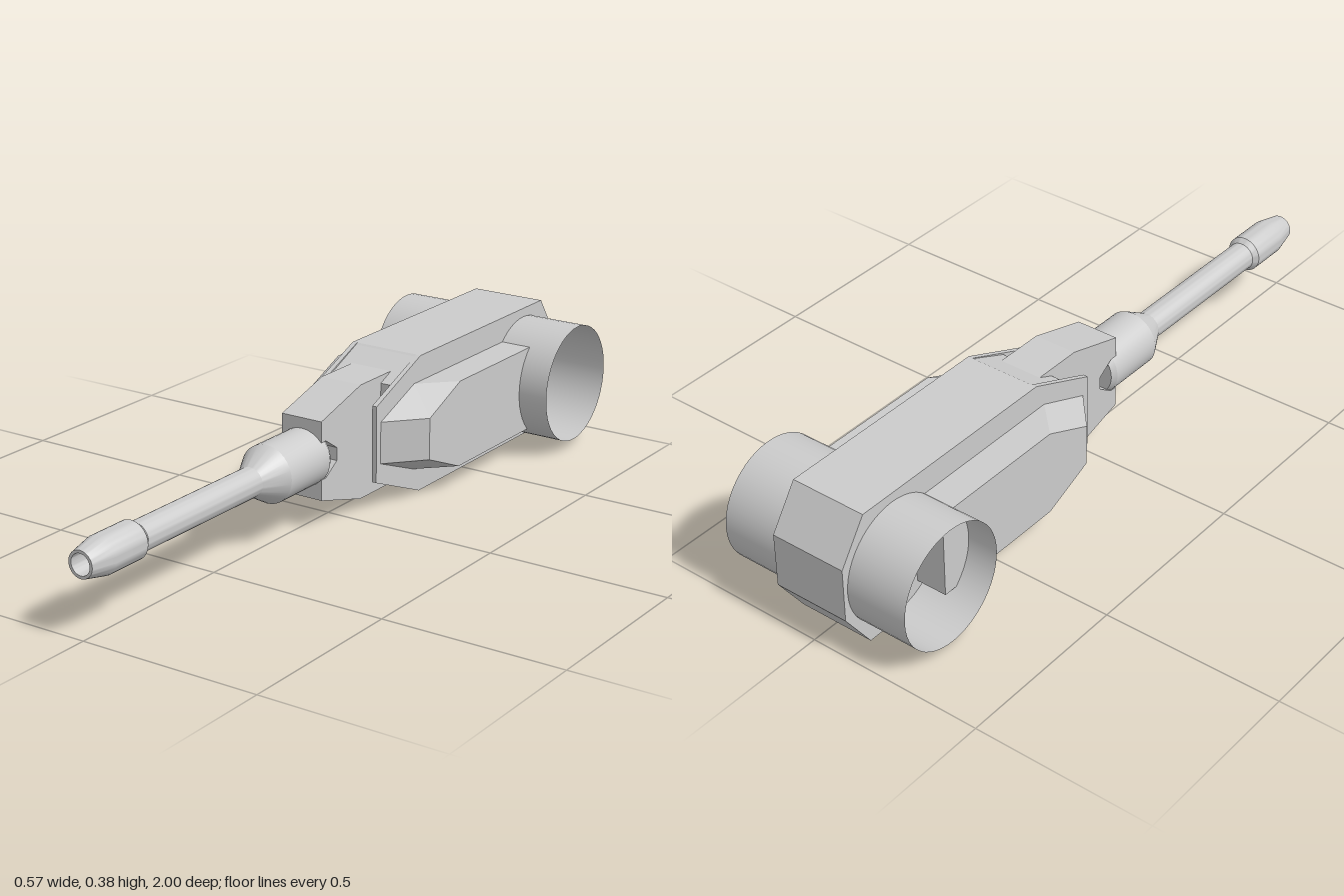
import * as THREE from 'three';
import { toCreasedNormals } from 'three/addons/utils/BufferGeometryUtils.js';

const AXIS_Y = 0.192; // height of the barrel and drum axes

const flatGrey = new THREE.MeshStandardMaterial({ color: 0xcccccc, flatShading: true });
const smoothGrey = new THREE.MeshStandardMaterial({ color: 0xcccccc });
const thinGrey = new THREE.MeshStandardMaterial({ color: 0xcccccc, side: THREE.DoubleSide });

// Solid between two [z, y] outlines (anticlockwise, equal counts) at x0 < x1
function prism(x0, x1, outline0, outline1 = outline0) {
  const pos = [];
  const put = (x, p) => pos.push(x, p[1], p[0]);
  const cap = (outline) =>
    THREE.ShapeUtils.triangulateShape(outline.map((p) => new THREE.Vector2(...p)), []);
  for (const [a, b, c] of cap(outline0)) [a, b, c].forEach((i) => put(x0, outline0[i]));
  for (const [a, b, c] of cap(outline1)) [c, b, a].forEach((i) => put(x1, outline1[i]));
  outline0.forEach((p, i) => {
    const j = (i + 1) % outline0.length;
    put(x0, outline0[j]); put(x0, p); put(x1, outline1[i]);
    put(x0, outline0[j]); put(x1, outline1[i]); put(x1, outline1[j]);
  });
  const geometry = new THREE.BufferGeometry();
  geometry.setAttribute('position', new THREE.Float32BufferAttribute(pos, 3));
  geometry.computeVertexNormals();
  return geometry;
}

// Upper outline points, front to back, mirrored below the axis; anticlockwise in (z, y)
function symmetric(upper) {
  const lower = upper.map(([z, y]) => [z, 2 * AXIS_Y - y]).reverse();
  return [...upper, ...lower];
}

export function createModel() {
  const model = new THREE.Group();
  const add = (name, geometry, material = flatGrey) => {
    const mesh = new THREE.Mesh(geometry, material);
    mesh.name = name;
    model.add(mesh);
    return mesh;
  };

  // Housing: a core cut back at the front between two full side plates
  const rear = [[-0.92, 0.384], [-1, 0.268]];
  const plate = symmetric([[-0.065, 0.298], [-0.275, 0.384], ...rear]);
  add('housingCore', prism(-0.095, 0.095, symmetric([[-0.155, 0.33], [-0.27, 0.38], [-0.277, 0.384], ...rear])));
  add('leftSidePlate', prism(0.095, 0.109, plate));
  add('rightSidePlate', prism(-0.109, -0.095, plate));

  // Barrel mount, notched at the front around the sleeve
  add('barrelMount', prism(-0.062, 0.062, symmetric([
    [0.05, 0.21], [0.1, 0.243], [0.12, 0.243], [0.12, 0.3], [-0.06, 0.351], [-0.27, 0.351],
  ])));

  // Bevelled side pods
  const podInner = symmetric([[-0.085, 0.25], [-0.245, 0.313], [-0.745, 0.313]]);
  const podOuter = symmetric([[-0.185, 0.25], [-0.335, 0.313], [-0.745, 0.313]]);
  add('leftPod', prism(0.109, 0.198, podInner, podOuter));
  add('rightPod', prism(-0.198, -0.109, podOuter, podInner));

  // Open drums at the rear
  for (const [name, side] of [['leftDrum', 1], ['rightDrum', -1]]) {
    const drum = new THREE.CylinderGeometry(0.167, 0.167, 0.176, 48, 1, true).rotateZ(Math.PI / 2);
    add(name, drum, thinGrey).position.set(side * 0.197, AXIS_Y, -0.82);
  }

  // Sleeve, barrel and bored muzzle turned as one profile of [radius, z]
  const profile = [
    [0, 0.09], [0.07, 0.09], [0.079, 0.105], [0.079, 0.275], [0.04, 0.345], [0.04, 0.8],
    [0.051, 0.815], [0.051, 0.93], [0.036, 1], [0.028, 1], [0.028, 0.9], [0, 0.9],
  ].map((p) => new THREE.Vector2(...p));
  const barrel = new THREE.LatheGeometry(profile, 40).rotateX(Math.PI / 2);
  add('barrel', toCreasedNormals(barrel, 0.4), smoothGrey).position.y = AXIS_Y;

  return model;
}
